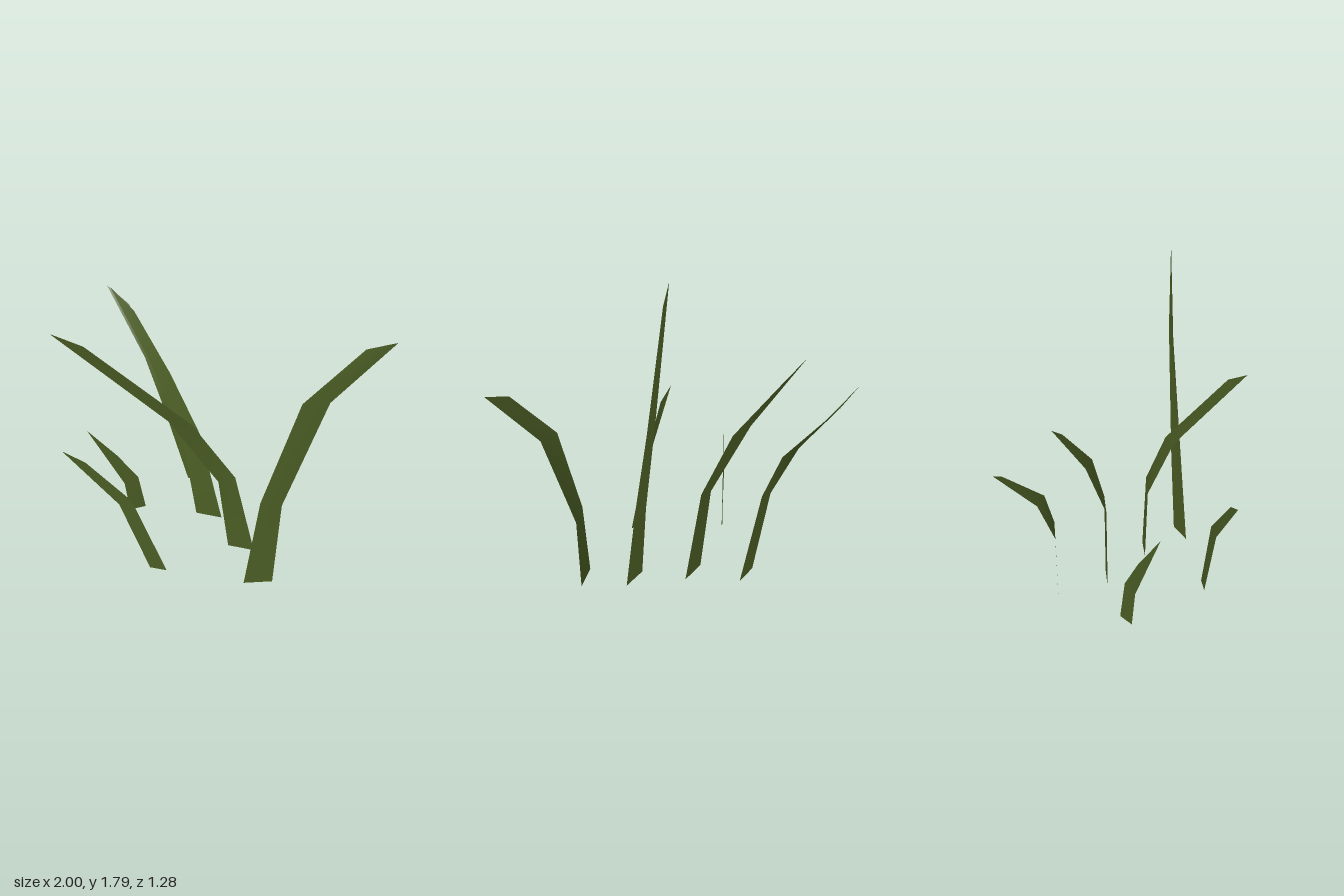
import * as THREE from 'three';

// Each blade is a ribbon of cross-sections from root to tip:
// [left x, y, z, right x, y, z]. The last section forms the slanted point.
const blades = {
  tallLeftBlade: [
    [0.25, 0.02, 0.53, 0.41, 0.02, 0.47],
    [0.33, 0.62, 0.485, 0.445, 0.595, 0.44],
    [0.535, 1.315, 0.445, 0.68, 1.345, 0.435],
    [0.845, 1.715, 0.46, 1.0, 1.79, 0.477],
  ],
  tallCentreBlade: [
    [0.07, 0.02, 0.24, 0.235, 0.02, 0.24],
    [0.01, 0.515, 0.243, 0.115, 0.57, 0.243],
    [-0.25, 0.985, 0.355, -0.12, 0.965, 0.325],
    [-0.785, 1.635, 0.637, -0.63, 1.545, 0.572],
  ],
  middleBlade: [
    [-0.22, 0, -0.02, -0.05, 0, -0.02],
    [-0.305, 0.575, -0.033, -0.19, 0.625, -0.038],
    [-0.535, 1.0, -0.163, -0.4, 0.985, -0.12],
    [-0.85, 1.393, -0.345, -0.68, 1.285, -0.288],
  ],
  backBlade: [
    [-0.375, 0.02, -0.325, -0.225, 0.02, -0.325],
    [-0.53, 0.555, -0.336, -0.42, 0.6, -0.338],
    [-0.68, 0.86, -0.43, -0.55, 0.85, -0.39],
    [-1.0, 1.23, -0.64, -0.84, 1.138, -0.602],
  ],
  frontBlade: [
    [-0.33, 0.02, 0.56, -0.225, 0.02, 0.557],
    [-0.49, 0.5, 0.584, -0.42, 0.53, 0.565],
    [-0.793, 0.86, 0.633, -0.66, 0.8, 0.622],
  ],
  shortBlade: [
    [-0.635, 0.02, 0.09, -0.55, 0.02, 0.03],
    [-0.655, 0.245, 0.105, -0.58, 0.27, 0.052],
    [-0.825, 0.705, 0.22, -0.685, 0.47, 0.117],
  ],
};

// Joins successive sections with quads into one bent ribbon
function ribbon(sections) {
  const index = [];
  for (let i = 0; i < sections.length - 1; i++) {
    const a = i * 2;
    index.push(a, a + 1, a + 3, a, a + 3, a + 2);
  }
  const geometry = new THREE.BufferGeometry();
  geometry.setAttribute('position', new THREE.Float32BufferAttribute(sections.flat(), 3));
  geometry.setIndex(index);
  geometry.computeVertexNormals();
  return geometry;
}

export function createModel() {
  const group = new THREE.Group();
  group.name = 'grassTuft';
  const leafGreen = new THREE.MeshStandardMaterial({ color: 0x4b5d24, side: THREE.DoubleSide });
  leafGreen.name = 'leafGreen';
  for (const [name, sections] of Object.entries(blades)) {
    const blade = new THREE.Mesh(ribbon(sections), leafGreen);
    blade.name = name;
    group.add(blade);
  }
  return group;
}
